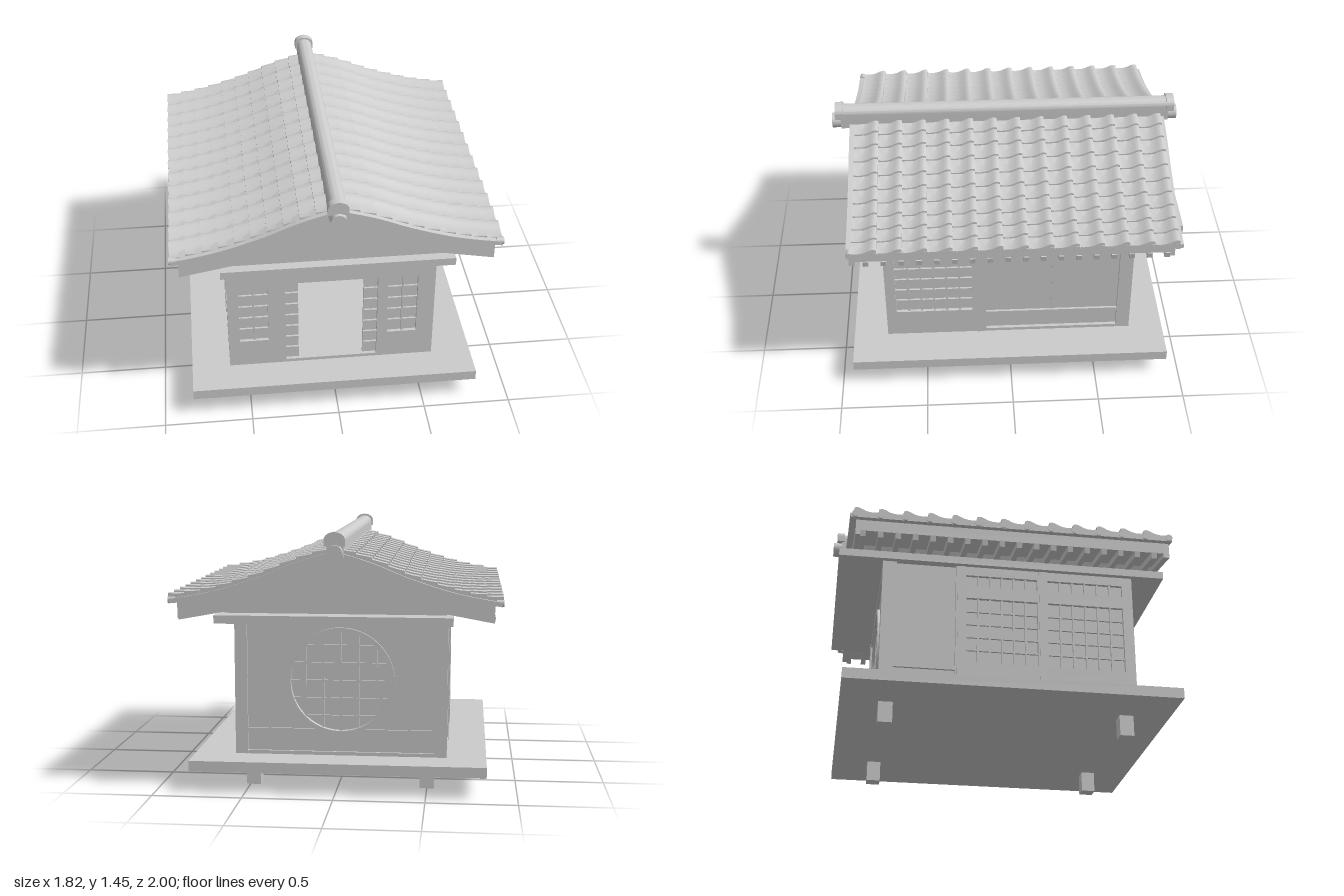
import * as THREE from 'three';
import { toCreasedNormals } from 'three/addons/utils/BufferGeometryUtils.js';

const mat = new THREE.MeshStandardMaterial({ color: 0xcccccc });
const thin = new THREE.MeshStandardMaterial({ color: 0xcccccc, side: THREE.DoubleSide });

function add(parent, name, geo, x = 0, y = 0, z = 0, material = mat) {
  const m = new THREE.Mesh(geo, material);
  m.name = name;
  m.position.set(x, y, z);
  parent.add(m);
  return m;
}
// box given by its minimum and maximum on each axis
function box(parent, name, x0, x1, y0, y1, z0, z1) {
  return add(parent, name, new THREE.BoxGeometry(x1 - x0, y1 - y0, z1 - z0),
    (x0 + x1) / 2, (y0 + y1) / 2, (z0 + z1) / 2);
}
const shapeOf = pts => new THREE.Shape(pts.map(p => new THREE.Vector2(p[0], p[1])));
const extrude = (shape, depth) => new THREE.ExtrudeGeometry(shape, { depth, bevelEnabled: false, curveSegments: 24 });

// roof underside height over half the span
const curve = new THREE.SplineCurve([[0, 1.32], [0.2, 1.26], [0.4, 1.18], [0.6, 1.115], [0.75, 1.08], [0.9, 1.055]]
  .map(p => new THREE.Vector2(p[0], p[1])));
const samples = curve.getPoints(80);
function roofY(x) {
  const a = Math.abs(x);
  const i = Math.max(1, samples.findIndex(p => p.x >= a - 1e-6));
  const p = samples[i - 1], q = samples[i];
  return p.y + (q.y - p.y) * (a - p.x) / (q.x - p.x);
}
// points across the full roof span at a height offset
function span(half, dy, n = 32) {
  return Array.from({ length: n + 1 }, (_, i) => {
    const x = -half + 2 * half * i / n;
    return [x, roofY(x) + dy];
  });
}

// lattice window: a pane with nx by ny cells
function lattice(parent, [u0, u1, y0, y1, nx, ny]) {
  const g = new THREE.Group();
  g.name = nx * ny > 1 ? 'latticeWindow' : 'wallPanel';
  parent.add(g);
  box(g, 'pane', u0, u1, y0, y1, -0.035, -0.02);
  const b = 0.005;
  for (let i = 1; i < nx; i++) {
    const u = u0 + (u1 - u0) * i / nx;
    box(g, 'verticalBar', u - b, u + b, y0, y1, -0.022, -0.006);
  }
  for (let j = 1; j < ny; j++) {
    const y = y0 + (y1 - y0) * j / ny;
    box(g, 'horizontalBar', u0, u1, y - b, y + b, -0.022, -0.008);
  }
}
// wall with its outer face at local z = 0 and openings filled by lattices
function wall(parent, name, u0, u1, openings, fillings = openings) {
  const g = new THREE.Group();
  g.name = name;
  parent.add(g);
  const s = shapeOf([[u0, 0.18], [u1, 0.18], [u1, 0.96], [u0, 0.96]]);
  for (const [a, b, c, d] of openings) s.holes.push(shapeOf([[a, c], [a, d], [b, d], [b, c]]));
  add(g, 'wallFrame', extrude(s, 0.04), 0, 0, -0.04);
  fillings.forEach(o => lattice(g, o));
  return g;
}

// one slope of overlapping wavy tiles; side is +1 or -1
function tileSlope(side) {
  const wave = [[0, 0.004], [0.15, 0], [0.35, 0.001], [0.55, 0.008], [0.7, 0.019], [0.82, 0.026], [0.92, 0.027], [1, 0.022]];
  const across = [[0.87, -0.02]];
  for (let k = 0; k < 13; k++) for (const [u, h] of wave) across.push([0.87 - 0.1365 * (k + u), h]);
  across.push([0.87 - 0.1365 * 13, -0.02]);
  const along = [], courses = 10;
  for (let k = 0; k < courses; k++) {
    const a = 0.03 + 0.875 * k / courses, b = 0.03 + 0.875 * (k + 1) / courses;
    along.push([a, 0], [(a + b) / 2, 0.005], [b, 0.012]);
  }
  const pos = [], idx = [], n = across.length;
  const row = (x, lift, flat) => across.forEach(([z, h]) =>
    pos.push(side * x, roofY(Math.min(x, 0.9)) + (flat ? 0.002 : 0.02 + h + lift), z));
  along.forEach(([x, h]) => row(x, h, false));
  row(0.905, 0, true);
  for (let i = 0; i < along.length; i++) for (let j = 0; j < n - 1; j++) {
    const a = i * n + j, b = a + 1, c = a + n, d = c + 1;
    if (side > 0) idx.push(a, c, b, b, c, d);
    else idx.push(a, b, c, b, d, c);
  }
  const geo = new THREE.BufferGeometry();
  geo.setAttribute('position', new THREE.Float32BufferAttribute(pos, 3));
  geo.setIndex(idx);
  return toCreasedNormals(geo, 0.6);
}

export function createModel() {
  const model = new THREE.Group();
  model.name = 'teaHouse';

  // deck on four feet
  box(model, 'deck', -0.83, 0.81, 0.12, 0.18, -0.92, 0.93);
  for (const x of [-0.54, 0.44]) for (const z of [-0.71, 0.64]) box(model, 'foot', x, x + 0.08, 0, 0.12, z, z + 0.08);
  box(model, 'floor', -0.59, 0.56, 0.18, 0.2, -0.7, 0.7);

  // front wall with an open doorway, slid-back door leaves and side lattices
  const front = wall(model, 'frontWall', -0.61, 0.58, [
    [-0.545, -0.38, 0.355, 0.755], [0.31, 0.48, 0.355, 0.755], [-0.28, 0.25, 0.2, 0.755],
    [-0.545, -0.38, 0.83, 0.9], [-0.28, 0.25, 0.83, 0.9], [0.31, 0.48, 0.83, 0.9],
  ], [
    [-0.545, -0.38, 0.355, 0.755, 2, 5], [0.31, 0.48, 0.355, 0.755, 2, 5],
    [-0.28, -0.205, 0.2, 0.755, 1, 7], [0.17, 0.25, 0.2, 0.755, 1, 7],
    [-0.545, -0.38, 0.83, 0.9, 2, 1], [-0.28, 0.25, 0.83, 0.9, 8, 1], [0.31, 0.48, 0.83, 0.9, 2, 1],
  ]);
  front.position.z = 0.73;

  // left wall: u runs toward -z
  const left = wall(model, 'leftWall', -0.69, 0.68, [
    [-0.67, -0.22, 0.355, 0.755, 6, 5], [-0.67, -0.22, 0.83, 0.9, 6, 1], [-0.14, 0.64, 0.2, 0.955, 1, 1],
  ]);
  left.rotation.y = Math.PI / 2;
  left.position.x = 0.58;
  box(left, 'panelRail', -0.14, 0.64, 0.305, 0.33, -0.022, -0.006);
  box(left, 'panelSeam', 0.245, 0.255, 0.33, 0.955, -0.022, -0.015);
  box(left, 'post', -0.19, -0.15, 0.18, 0.96, -0.03, 0.004);

  // right wall: u runs toward +z
  const right = wall(model, 'rightWall', -0.68, 0.69, [
    [0.23, 0.67, 0.355, 0.755, 6, 5], [0.23, 0.67, 0.83, 0.9, 6, 1],
    [-0.24, 0.17, 0.355, 0.755, 6, 5], [-0.24, 0.17, 0.83, 0.9, 6, 1], [-0.64, -0.3, 0.2, 0.955, 1, 1],
  ]);
  right.rotation.y = -Math.PI / 2;
  right.position.x = -0.61;
  box(right, 'panelRail', -0.64, -0.3, 0.305, 0.33, -0.022, -0.006);
  for (const u of [0.18, -0.29]) box(right, 'post', u, u + 0.04, 0.18, 0.96, -0.03, 0.004);

  // back wall with a round lattice window
  const back = new THREE.Group();
  back.name = 'backWall';
  back.rotation.y = Math.PI;
  back.position.set(-0.015, 0, -0.72);
  model.add(back);
  const cy = 0.6, r = 0.29;
  const circle = radius => new THREE.Path().absarc(0, cy, radius, 0, Math.PI * 2, true);
  const panel = shapeOf([[-0.57, 0.18], [0.57, 0.18], [0.57, 0.96], [-0.57, 0.96]]);
  panel.holes.push(circle(r));
  add(back, 'backPanel', toCreasedNormals(extrude(panel, 0.03), 0.5), 0, 0, -0.045);
  const ring = new THREE.Shape().absarc(0, cy, r + 0.015, 0, Math.PI * 2, false);
  ring.holes.push(circle(r - 0.01));
  add(back, 'roundFrame', toCreasedNormals(extrude(ring, 0.05), 0.5), 0, 0, -0.05);
  add(back, 'roundPane', new THREE.CylinderGeometry(r, r, 0.008, 48).rotateX(Math.PI / 2), 0, cy, -0.034);
  for (let k = -2; k <= 2; k++) {
    const o = k * 0.1, h = Math.sqrt(r * r - o * o), b = 0.006;
    box(back, 'roundVerticalBar', o - b, o + b, cy - h, cy + h, -0.046, -0.016);
    box(back, 'roundHorizontalBar', -h, h, cy + o - b, cy + o + b, -0.044, -0.018);
  }
  for (const s of [-1, 1]) {
    box(back, 'backRail', s * 0.32 - 0.22, s * 0.32 + 0.22, 0.305, 0.33, -0.04, -0.004);
    box(back, 'cornerPost', s * 0.56 - 0.035, s * 0.56 + 0.035, 0.18, 0.96, -0.07, 0);
  }
  box(back, 'sill', -0.53, 0.53, 0.18, 0.2, -0.04, -0.002);
  box(back, 'lintel', -0.53, 0.53, 0.93, 0.96, -0.04, -0.002);

  // ceiling slab and roof body
  box(model, 'ceilingSlab', -0.64, 0.645, 0.955, 1, -0.97, 0.915);
  const body = shapeOf([...span(0.86, 0.002), [0.86, 0.995], [0.62, 1.04], [0.6, 0.99], [-0.6, 0.99], [-0.62, 1.04], [-0.86, 0.995]].reverse());
  add(model, 'roofBody', extrude(body, 1.72), 0, 0, -0.86);

  // curved gable boards
  const lower = [[0.86, 0.97], [0.59, 1.02], [0.4, 1.1], [0.2, 1.19], [0.08, 1.222], [0, 1.23]];
  const under = [...lower, ...lower.slice(0, -1).reverse().map(([x, y]) => [-x, y])];
  for (const z of [-0.89, 0.855]) add(model, 'gableBoard', extrude(shapeOf([...span(0.86, 0.002), ...under].reverse()), 0.035), 0, 0, z);

  // rafters under both eaves
  for (const s of [-1, 1]) for (let i = 0; i < 18; i++) {
    const m = add(model, 'rafter', new THREE.BoxGeometry(0.26, 0.035, 0.03), s * 0.735, 1.0, 0.8 - i * 0.097);
    m.rotation.z = -s * 0.18;
  }

  // roof sheet, tiles and round eave ends
  add(model, 'roofSheet', extrude(shapeOf([...span(0.9, 0), ...span(0.9, 0.025).reverse()]), 1.825), 0, 0, -0.925);
  for (const s of [-1, 1]) {
    add(model, 'roofTiles', tileSlope(s), 0, 0, 0, thin);
    for (let k = 0; k < 14; k++) {
      add(model, 'eaveTileEnd', new THREE.CylinderGeometry(0.02, 0.02, 0.04, 14).rotateZ(Math.PI / 2), s * 0.888, 1.075, 0.88 - k * 0.1365);
    }
  }

  // ridge: lower round log, body, rounded cap and end caps
  add(model, 'ridgeLog', new THREE.CylinderGeometry(0.043, 0.043, 2, 24).rotateX(Math.PI / 2), -0.01, 1.34, 0);
  box(model, 'ridgeBody', -0.055, 0.035, 1.31, 1.4, -0.95, 0.95);
  const cap = (w, top) => {
    const s = new THREE.Shape();
    s.moveTo(-w, 1.375).lineTo(w, 1.375).lineTo(w, top - 0.04);
    s.absellipse(0, top - 0.04, w, 0.04, 0, Math.PI, false, 0);
    s.lineTo(-w, 1.375);
    return s;
  };
  add(model, 'ridgeCap', toCreasedNormals(extrude(cap(0.046, 1.44), 1.94), 0.5), -0.01, 0, -0.97);
  for (const z of [-0.98, 0.935]) add(model, 'ridgeEndCap', toCreasedNormals(extrude(cap(0.056, 1.45), 0.045), 0.5), -0.01, 0, z);
  return model;
}
